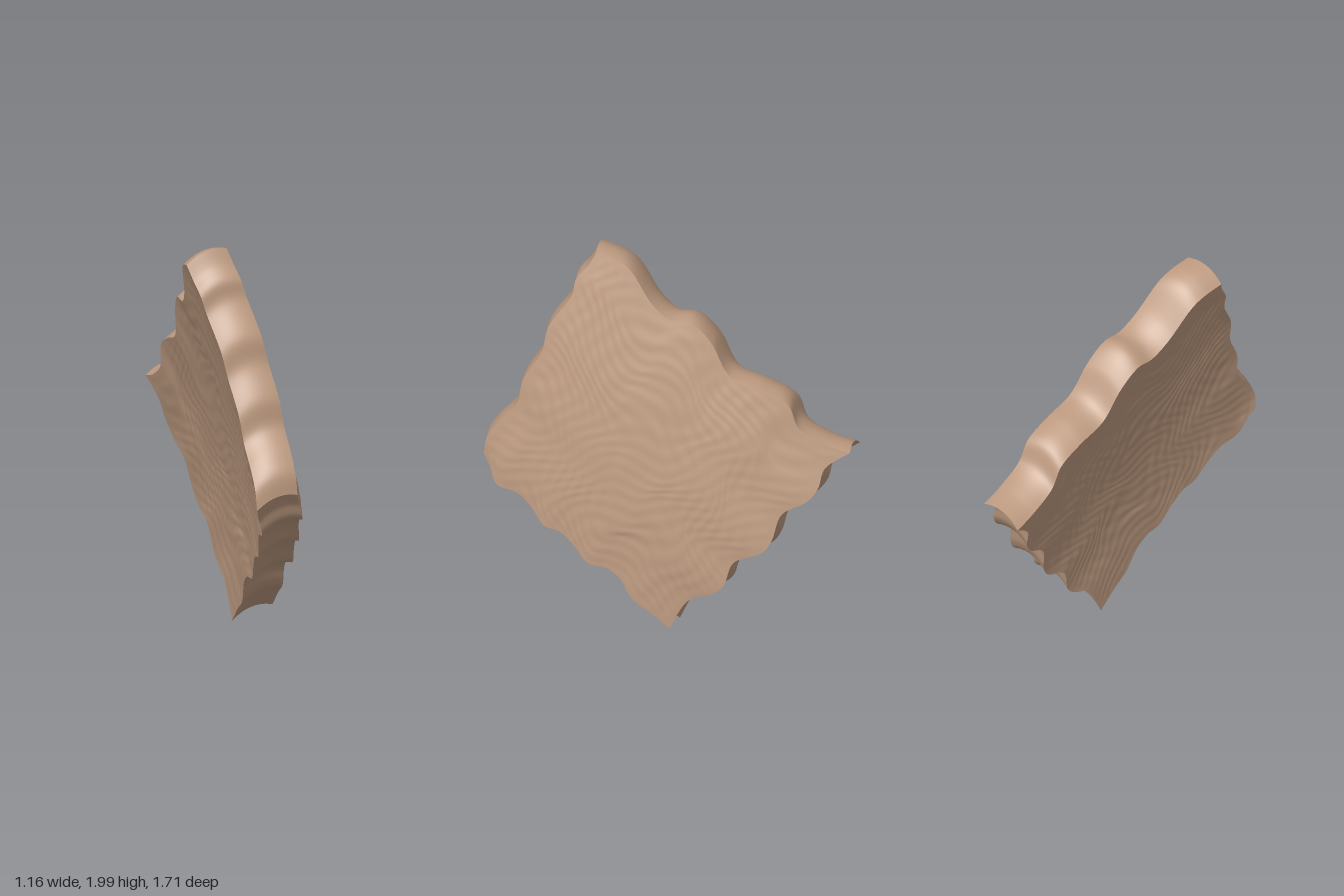
import * as THREE from 'three';

// Wavy slab borders as (z, y) points on the +x face
const spline = (pts) => new THREE.SplineCurve(pts.map(([z, y]) => new THREE.Vector2(z, y)));
const TOP = [0.405, 1.985], FRONT = [0.745, 0.83], BACK = [-0.855, 1.15], BOTTOM = [-0.2, 0.07];

const topToFront = spline([TOP, [0.425, 1.91], [0.46, 1.84], [0.465, 1.74], [0.53, 1.58], [0.54, 1.44],
  [0.6, 1.28], [0.615, 1.14], [0.69, 1.02], [0.735, 0.93], FRONT]);
const topToBack = spline([TOP, [0.3, 1.965], [0.22, 1.92], [0.1, 1.78], [0, 1.715], [-0.1, 1.715], [-0.2, 1.63],
  [-0.3, 1.48], [-0.45, 1.43], [-0.57, 1.37], [-0.63, 1.25], [-0.75, 1.18], BACK]);
const backToBottom = spline([BACK, [-0.77, 1.06], [-0.76, 0.95], [-0.72, 0.87], [-0.63, 0.79], [-0.61, 0.65],
  [-0.57, 0.57], [-0.46, 0.5], [-0.43, 0.37], [-0.38, 0.31], [-0.27, 0.24], BOTTOM]);
const frontToBottom = spline([FRONT, [0.7, 0.77], [0.65, 0.69], [0.55, 0.67], [0.47, 0.61], [0.4, 0.53],
  [0.32, 0.51], [0.25, 0.45], [0.18, 0.37], [0.1, 0.36], [0.03, 0.31], [-0.03, 0.21], [-0.11, 0.15], BOTTOM]);

// Fine wandering ripples of the broad faces
function ripple(u, v) {
  const fade = Math.min(1, 20 * Math.min(u, 1 - u, v, 1 - v));
  const warp = 3 * Math.sin(7 * u + 4 * v) + 2 * Math.sin(11 * v - 5 * u);
  return 0.001 * fade * (Math.sin(60 * u + 85 * v + warp * 2) + Math.sin(70 * v - 90 * u + warp * 3));
}

// Point in the slab: u, v span the face between its four borders, t goes through the thickness
function slabPoint(u, v, t) {
  const a = topToFront.getPointAt(u), b = backToBottom.getPointAt(u);
  const c = topToBack.getPointAt(v), d = frontToBottom.getPointAt(v);
  const blend = (k) => {
    const ax = k === 'x' ? 0 : 1;
    const corners = (1 - v) * ((1 - u) * TOP[ax] + u * FRONT[ax]) + v * ((1 - u) * BACK[ax] + u * BOTTOM[ax]);
    return (1 - v) * a[k] + v * b[k] + (1 - u) * c[k] + u * d[k] - corners;
  };
  const z = blend('x'), y = blend('y');
  const bulge = 0.21 * (u * (1 - u) + v * (1 - v));
  const x = 0.118 + 0.568 * (z - 0.0275) - 0.22 * (y - 1.0175) + bulge + ripple(u, v);
  // The rim is arched upwards between the two faces
  const lift = 0.13 * t * (1 - t);
  return [x - 0.178 * t - 0.04 * lift, y - 0.07 * t + 0.95 * lift, z + 0.112 * t + 0.3 * lift];
}

// Grid surface over a function of p, q in 0..1
function surface(fn, nP, nQ) {
  const pos = [], index = [];
  for (let j = 0; j <= nQ; j++) {
    for (let i = 0; i <= nP; i++) pos.push(...fn(i / nP, j / nQ));
  }
  for (let j = 0; j < nQ; j++) {
    for (let i = 0; i < nP; i++) {
      const a = j * (nP + 1) + i, b = a + 1, c = a + nP + 1, d = c + 1;
      index.push(a, b, d, a, d, c);
    }
  }
  const geo = new THREE.BufferGeometry();
  geo.setAttribute('position', new THREE.Float32BufferAttribute(pos, 3));
  geo.setIndex(index);
  geo.computeVertexNormals();
  return geo;
}

export function createModel() {
  const group = new THREE.Group();
  group.name = 'slab';
  const material = new THREE.MeshStandardMaterial({ color: 0xbd9a80 });
  const add = (name, geo) => {
    const mesh = new THREE.Mesh(geo, material);
    mesh.name = name;
    group.add(mesh);
  };

  // Broad faces
  add('outerFace', surface((p, q) => slabPoint(p, q, 0), 120, 120));
  add('innerFace', surface((p, q) => slabPoint(q, p, 1), 120, 120));

  // Wavy rim, one wall per side
  const sides = {
    upperFrontRim: (s) => [s, 0],
    lowerFrontRim: (s) => [1, s],
    lowerBackRim: (s) => [1 - s, 1],
    upperBackRim: (s) => [0, 1 - s],
  };
  for (const [name, path] of Object.entries(sides)) {
    add(name, surface((p, q) => slabPoint(...path(q), p), 12, 120));
  }
  return group;
}
